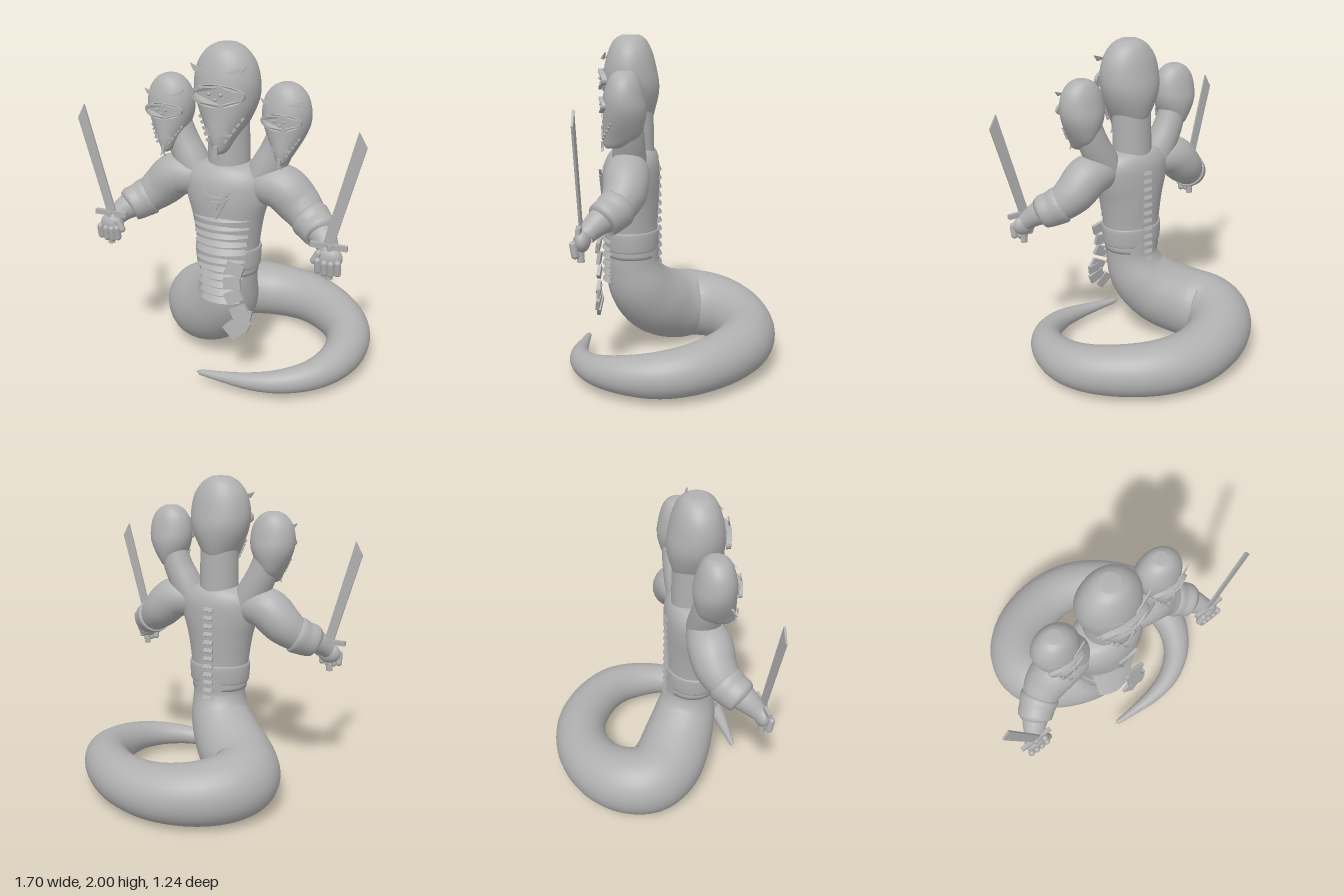
import * as THREE from 'three';
import { mergeVertices } from 'three/addons/utils/BufferGeometryUtils.js';

const stone = new THREE.MeshStandardMaterial({ color: 0xb0b0b0, side: THREE.DoubleSide });
stone.name = 'stone grey';

function add(parent, name, geometry, pos = [0, 0, 0], rot = [0, 0, 0]) {
  const mesh = new THREE.Mesh(geometry, stone);
  mesh.name = name;
  mesh.position.set(...pos);
  mesh.rotation.set(...rot);
  parent.add(mesh);
  return mesh;
}

// Weld seams and recompute smooth normals
function smooth(geo) {
  geo.deleteAttribute('uv');
  geo.deleteAttribute('normal');
  const merged = mergeVertices(geo, 1e-5);
  merged.computeVertexNormals();
  return merged;
}

// Tube through points [x, y, z, radius]
function taperTube(pts, seg = 40, sides = 24) {
  const curve = new THREE.CatmullRomCurve3(pts.map(p => new THREE.Vector3(p[0], p[1], p[2])));
  const radii = new THREE.SplineCurve(pts.map((p, i) => new THREE.Vector2(i, p[3])));
  const geo = new THREE.TubeGeometry(curve, seg, 1, sides);
  const pos = geo.attributes.position, v = new THREE.Vector3();
  for (let i = 0; i <= seg; i++) {
    const c = curve.getPointAt(i / seg);
    const r = Math.max(0.002, radii.getPoint(curve.getUtoTmapping(i / seg)).y);
    for (let j = 0; j <= sides; j++) {
      const k = i * (sides + 1) + j;
      v.fromBufferAttribute(pos, k).sub(c).multiplyScalar(r).add(c);
      pos.setXYZ(k, v.x, v.y, v.z);
    }
  }
  return smooth(geo);
}

// Upright form from oval rows [y, halfWidth, zBack, zFront], bottom to top
function rowAt(rows, t) {
  const f = Math.min(t * (rows.length - 1), rows.length - 1.0001);
  const i = Math.floor(f), u = f - i;
  const at = k => rows[Math.max(0, Math.min(rows.length - 1, k))];
  return rows[0].map((_, c) => {
    const [a, b, d, e] = [at(i - 1)[c], at(i)[c], at(i + 1)[c], at(i + 2)[c]];
    return b + 0.5 * u * (d - a + u * (2 * a - 5 * b + 4 * d - e + u * (3 * (b - d) + e - a)));
  });
}
function stack(rows, seg = 32) {
  const geo = new THREE.CylinderGeometry(1, 1, 1, 36, seg);
  const p = geo.attributes.position;
  for (let i = 0; i < p.count; i++) {
    const [y, w, zb, zf] = rowAt(rows, p.getY(i) + 0.5);
    p.setXYZ(i, p.getX(i) * w, y, (zb + zf) / 2 + p.getZ(i) * (zf - zb) / 2);
  }
  return smooth(geo);
}

function plate(points, depth = 0.01, hole) {
  const shape = new THREE.Shape(points.map(p => new THREE.Vector2(...p)));
  if (hole) shape.holes.push(new THREE.Path(hole.map(p => new THREE.Vector2(...p))));
  return new THREE.ExtrudeGeometry(shape, { depth, bevelEnabled: false });
}
const oval = (x, y, rx, ry, n = 28) => Array.from({ length: n }, (_, i) =>
  [x + rx * Math.cos(i / n * 2 * Math.PI), y + ry * Math.sin(i / n * 2 * Math.PI)]);

const HEAD = [
  [1.405, 0.025, 0.32, 0.41], [1.43, 0.05, 0.24, 0.43], [1.5, 0.09, 0.15, 0.44],
  [1.6, 0.145, 0.11, 0.435], [1.7, 0.183, 0.095, 0.43], [1.8, 0.19, 0.11, 0.425],
  [1.9, 0.165, 0.135, 0.4], [1.97, 0.11, 0.17, 0.365], [2.0, 0.055, 0.21, 0.32]];

// Bend a face plate partly around the head
function wrap(geo, lift) {
  const p = geo.attributes.position;
  for (let i = 0; i < p.count; i++)
    p.setZ(i, p.getZ(i) + 0.425 + lift - 1.7 * p.getX(i) ** 2);
  geo.computeVertexNormals();
  return geo;
}

function makeHead(name, x, scale, top) {
  const g = new THREE.Group();
  g.name = name;
  add(g, 'hood', stack(HEAD));
  add(g, 'mouthRim', wrap(plate(oval(0, 1.74, 0.158, 0.062), 0.03, oval(0, 1.74, 0.138, 0.045)), 0.005));
  add(g, 'mouthPlate', wrap(plate(oval(0, 1.74, 0.14, 0.046), 0.012), 0.008));
  for (const [dx, dy] of [[-0.035, 1.748], [0.035, 1.748], [0, 1.718]])
    add(g, 'mouthStud', new THREE.SphereGeometry(0.011, 10, 8), [dx, dy, 0.446]);
  for (const s of [-1, 1]) {
    add(g, 'eye', wrap(plate([[s * 0.04, 1.862], [s * 0.165, 1.9], [s * 0.135, 1.86]]), 0.01));
    add(g, 'fang', wrap(plate([[s * 0.03, 1.515], [s * 0.075, 1.52], [s * 0.055, 1.56]]), 0.012));
    for (let i = 0; i < 5; i++)
      add(g, 'jawScale', new THREE.BoxGeometry(0.016, 0.02, 0.014),
        [s * (0.125 - i * 0.018), 1.6 - i * 0.028, 0.36 + i * 0.017], [0, 0, -s * 0.6]);
  }
  add(g, 'tongue', plate([[-0.013, 1.46], [0.013, 1.46], [0.01, 1.41], [0.022, 1.38],
    [0, 1.4], [-0.022, 1.38], [-0.01, 1.41]], 0.015), [0, 0, 0.435]);
  g.scale.setScalar(scale);
  g.position.set(x, top - 2 * scale, 0.265 - 0.265 * scale);
  return g;
}

function makeArm(s) {
  const g = new THREE.Group();
  g.name = s > 0 ? 'leftArm' : 'rightArm';
  const flip = pts => pts.map(([x, ...r]) => [s * x, ...r]);
  add(g, 'armMuscle', taperTube(flip([[0.13, 1.2, 0.27, 0.08], [0.22, 1.215, 0.265, 0.115],
    [0.33, 1.205, 0.26, 0.133], [0.43, 1.12, 0.265, 0.125], [0.52, 1.045, 0.31, 0.1],
    [0.61, 1.0, 0.385, 0.075], [0.67, 0.94, 0.45, 0.055]])));
  add(g, 'cuff', taperTube(flip([[0.49, 1.065, 0.29, 0.05], [0.5, 1.06, 0.295, 0.112],
    [0.55, 1.03, 0.33, 0.108], [0.6, 1.01, 0.37, 0.096], [0.605, 1.005, 0.375, 0.04]]), 24));
  // Fist
  const palm = add(g, 'palm', new THREE.SphereGeometry(1, 20, 14), [s * 0.67, 0.915, 0.465]);
  palm.scale.set(0.075, 0.065, 0.045);
  for (let i = 0; i < 4; i++)
    add(g, 'finger', new THREE.CapsuleGeometry(0.02, 0.06, 4, 10),
      [s * (0.617 + i * 0.037), 0.865 + (i === 0 || i === 3 ? 0.01 : 0), 0.502], [0.15, 0, 0]);
  add(g, 'thumb', new THREE.CapsuleGeometry(0.021, 0.05, 4, 10), [s * 0.605, 0.92, 0.49], [0, 0, -s * 0.5]);
  // Sword
  add(g, 'handle', new THREE.CylinderGeometry(0.021, 0.021, 0.2, 12), [s * 0.675, 0.895, 0.475]);
  add(g, 'guard', new THREE.BoxGeometry(0.205, 0.03, 0.024), [s * 0.668, 0.985, 0.473]);
  add(g, 'blade', plate([[0.635, 0.99], [0.695, 0.99], [0.735, 1.14], [0.79, 1.34], [0.848, 1.55],
    [0.803, 1.63], [0.75, 1.43], [0.69, 1.2]].map(([x, y]) => [s * x, y]), 0.012), [0, 0, 0.467]);
  return g;
}

export function createModel() {
  const model = new THREE.Group();
  model.name = 'threeHeadedSerpent';

  // Coiled tail, thick at the waist and pointed at the front
  add(model, 'tail', taperTube([
    [0, 0.74, 0.268, 0.17], [0, 0.6, 0.265, 0.17], [-0.03, 0.46, 0.23, 0.195],
    [-0.13, 0.33, 0.15, 0.22], [-0.27, 0.245, 0.03, 0.228], [-0.35, 0.225, -0.1, 0.22],
    [-0.32, 0.215, -0.24, 0.21], [-0.19, 0.2, -0.37, 0.195], [0.05, 0.185, -0.447, 0.178],
    [0.3, 0.185, -0.415, 0.165], [0.52, 0.18, -0.275, 0.152], [0.655, 0.17, -0.1, 0.14],
    [0.695, 0.155, 0.08, 0.127], [0.665, 0.145, 0.28, 0.105], [0.57, 0.13, 0.43, 0.085],
    [0.42, 0.115, 0.53, 0.068], [0.25, 0.1, 0.568, 0.05], [0.08, 0.09, 0.57, 0.031],
    [-0.08, 0.085, 0.565, 0.014], [-0.09, 0.085, 0.564, 0.002]], 130, 32));

  // Torso, belt and neck
  add(model, 'torso', stack([[0.66, 0.18, 0.105, 0.43], [0.82, 0.188, 0.11, 0.433],
    [1.0, 0.215, 0.1, 0.443], [1.13, 0.25, 0.095, 0.445], [1.24, 0.25, 0.1, 0.43],
    [1.31, 0.19, 0.13, 0.39], [1.335, 0.1, 0.18, 0.34]]));
  add(model, 'belt', stack([[0.71, 0.185, 0.115, 0.425], [0.713, 0.195, 0.103, 0.437],
    [0.82, 0.2, 0.1, 0.44], [0.823, 0.185, 0.115, 0.43]], 12));
  add(model, 'centreNeck', new THREE.CylinderGeometry(0.118, 0.122, 0.42, 28), [0, 1.47, 0.25]);

  model.add(makeHead('centreHead', 0, 1, 2));
  for (const s of [-1, 1]) {
    add(model, 'sideNeck', taperTube([[s * 0.17, 1.18, 0.26, 0.1], [s * 0.23, 1.3, 0.255, 0.1],
      [s * 0.29, 1.42, 0.25, 0.092], [s * 0.34, 1.56, 0.25, 0.085]], 20));
    model.add(makeHead(s > 0 ? 'leftHead' : 'rightHead', s * 0.35, 0.73, 1.805));
    model.add(makeArm(s));
  }

  // Curved belly plates, each flaring slightly at its lower edge
  for (let i = 0; i < 11; i++) {
    const y = 1.035 - i * 0.0515, r = 0.206 - i * 0.0028, half = 0.98 - i * 0.025;
    const rib = add(model, 'bellyPlate',
      new THREE.CylinderGeometry(r - 0.012, r + 0.01, 0.034, 16, 1, true, -half, 2 * half), [0, y, 0.268]);
    rib.scale.z = 0.178 / r;
    const lip = add(model, 'bellyPlateLip',
      new THREE.RingGeometry(r - 0.02, r + 0.01, 16, 1, Math.PI / 2 - half, 2 * half),
      [0, y - 0.017, 0.268], [Math.PI / 2, 0, 0]);
    lip.scale.y = 0.178 / r;
  }

  // Horned triangle on the chest
  add(model, 'chestTriangle', plate([[-0.075, 1.165], [0.075, 1.165], [0, 1.03]], 0.016,
    [[-0.045, 1.147], [0.045, 1.147], [0, 1.067]]), [0, 0, 0.442]);
  add(model, 'chestTriangleCore', plate([[-0.03, 1.138], [0.03, 1.138], [0, 1.087]], 0.014), [0, 0, 0.442]);
  for (const s of [-1, 1])
    add(model, 'chestHorn', plate([[s * 0.09, 1.205], [s * 0.035, 1.165], [s * 0.06, 1.165]], 0.016), [0, 0, 0.442]);

  // Spines down the back
  for (let i = 0; i < 12; i++)
    add(model, 'backSpine', new THREE.BoxGeometry(0.06, 0.026, 0.03), [0, 1.195 - i * 0.053, 0.104], [0.45, 0, 0]);

  // Segmented sash hanging from the belt
  const sash = [[0.115, 0.745, -0.35], [0.1, 0.655, 0.05], [0.11, 0.57, 0.4],
    [0.145, 0.48, 0.4], [0.155, 0.4, -0.5], [0.1, 0.35, -0.85]];
  for (const [x, y, a] of sash)
    add(model, 'sashPiece', new THREE.BoxGeometry(0.105, 0.07, 0.022), [x, y, 0.462], [-0.15, 0, a + 0.1]);
  add(model, 'sashEnd', new THREE.BoxGeometry(0.06, 0.085, 0.018), [0.175, 0.465, 0.455], [-0.15, 0, 1.4]);

  return model;
}
